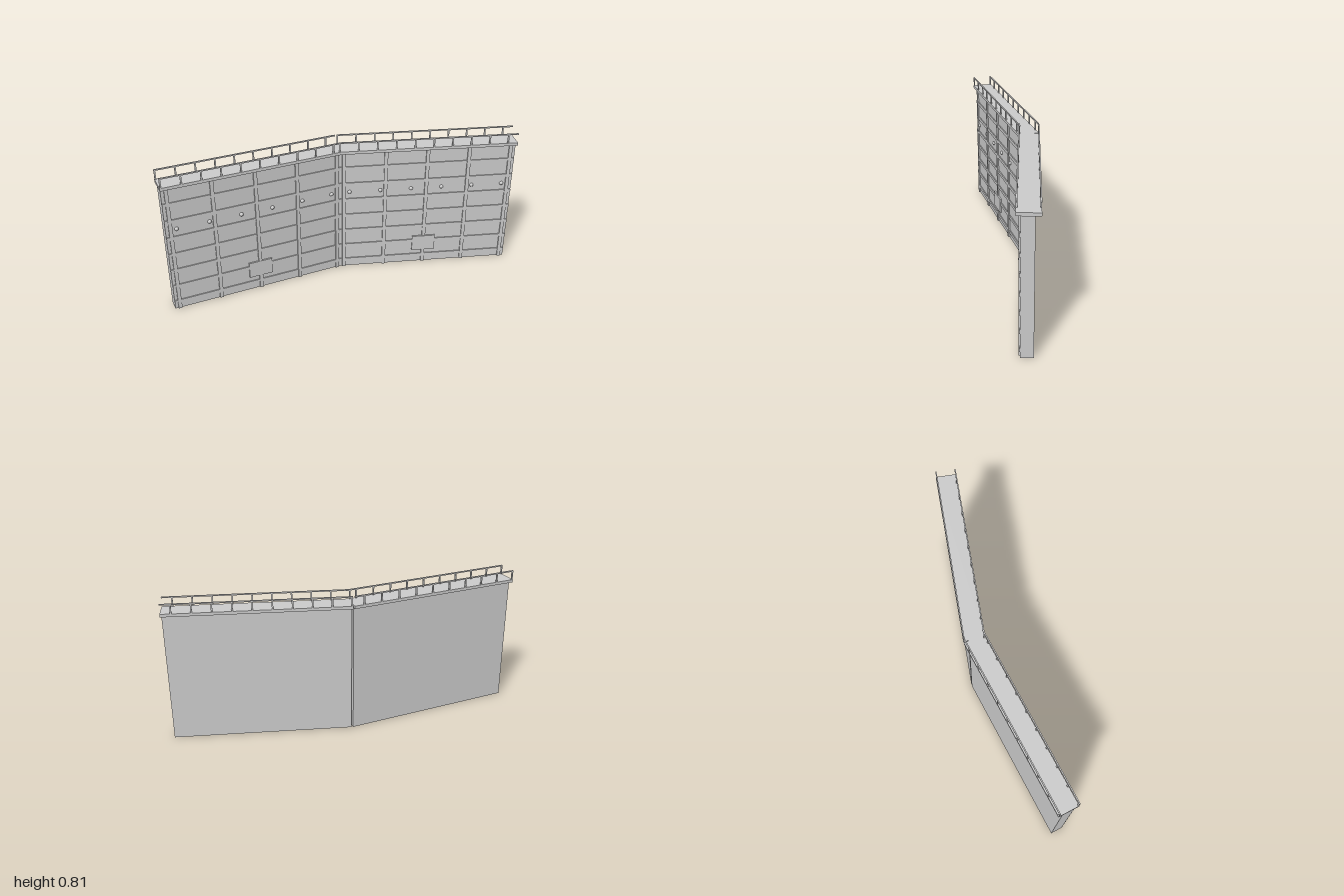
import * as THREE from 'three';

const mat = new THREE.MeshStandardMaterial({ color: 0xcccccc });
const ANGLE = THREE.MathUtils.degToRad(9);

function box(parent, name, w, h, d, x, y, z) {
  const mesh = new THREE.Mesh(new THREE.BoxGeometry(w, h, d), mat);
  mesh.name = name;
  mesh.position.set(x, y, z);
  parent.add(mesh);
  return mesh;
}

// One gate leaf: x runs along the leaf, z = 0 is the back edge of the walkway
function createLeaf(name) {
  const leaf = new THREE.Group();
  leaf.name = name;
  const front = 0.093; // front face of the wall

  box(leaf, 'wall', 0.998, 0.738, 0.065, 0, 0.369, front - 0.0325);
  box(leaf, 'walkway', 1.007, 0.017, 0.115, 0, 0.7465, 0.0575);

  // Vertical ribs
  for (let i = -2; i <= 2; i++) {
    box(leaf, 'verticalRib', 0.02, 0.738, 0.01, i * 0.236, 0.369, front + 0.003);
  }
  // Horizontal ribs
  for (let i = 0; i < 7; i++) {
    box(leaf, 'horizontalRib', 0.997, 0.02, 0.008, 0, 0.044 + i * 0.1, front + 0.002);
  }
  // Sluice cover
  box(leaf, 'sluiceCover', 0.135, 0.093, 0.012, 0, 0.13, front + 0.004);

  // Round studs
  const studGeo = new THREE.SphereGeometry(0.011, 16, 12);
  for (let i = 0; i < 6; i++) {
    const stud = new THREE.Mesh(studGeo, mat);
    stud.name = 'stud';
    stud.position.set((i - 2.5) * 0.176, 0.495, front);
    leaf.add(stud);
  }

  // Railings along both edges of the walkway
  for (const z of [0.004, 0.111]) {
    box(leaf, 'handrail', 1.005, 0.007, 0.007, 0, 0.8065, z);
    for (let i = 0; i < 10; i++) {
      box(leaf, 'railPost', 0.008, 0.052, 0.007, -0.498 + i * 0.105, 0.779, z);
    }
  }
  return leaf;
}

export function createModel() {
  const model = new THREE.Group();
  model.name = 'lockGate';
  // Two leaves meeting in a shallow V
  for (const side of [-1, 1]) {
    const leaf = createLeaf(side > 0 ? 'leftLeaf' : 'rightLeaf');
    leaf.position.set(side * 0.502, 0, -0.057);
    leaf.rotation.y = -side * ANGLE;
    model.add(leaf);
  }
  return model;
}
